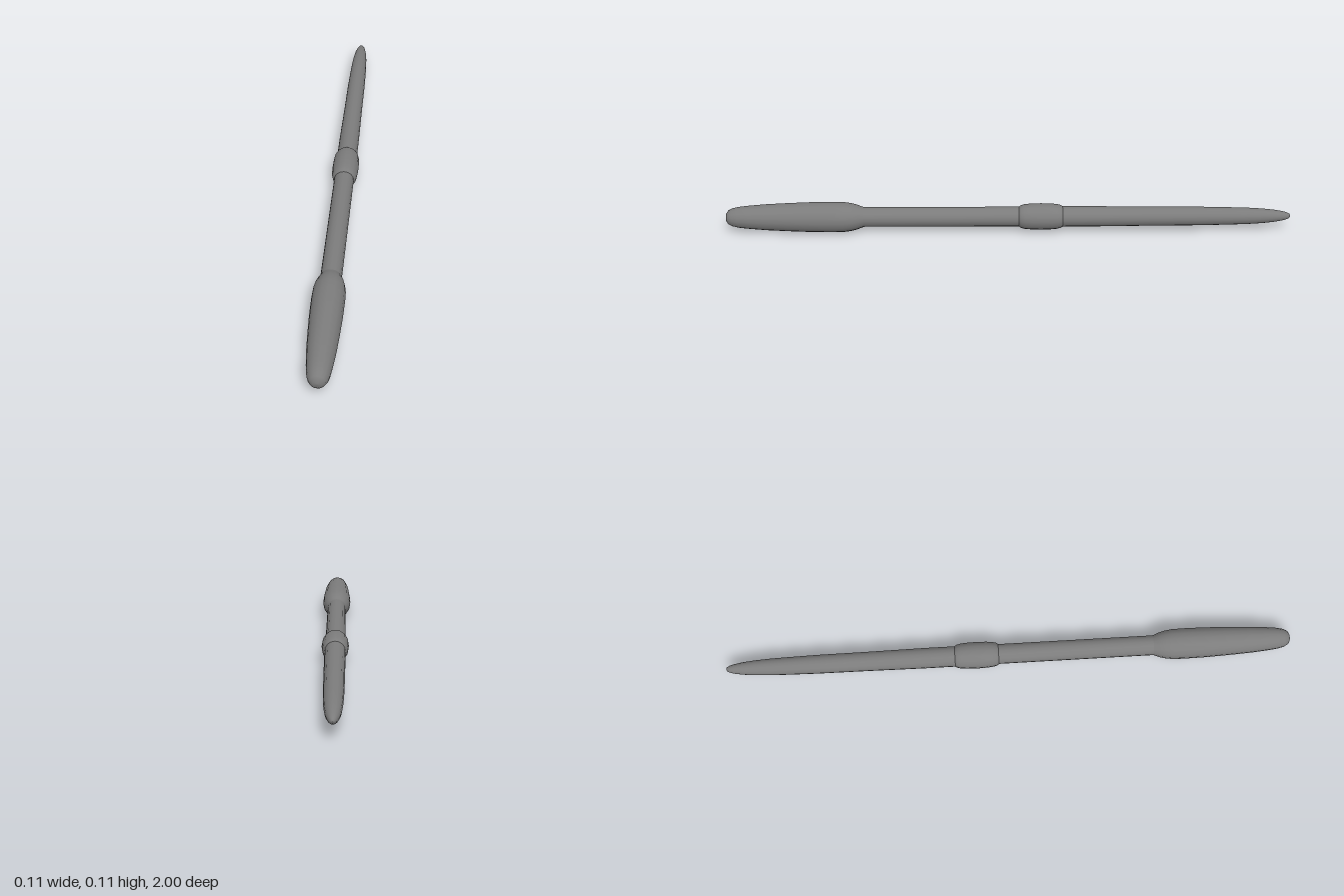
import * as THREE from 'three';

const SIDES = 16;
const AXIS_Y = 0.055;

export function createModel() {
  const group = new THREE.Group();
  const material = new THREE.MeshStandardMaterial({ color: 0x7c7c7c });

  // Turned part lying along z; profile points are [radius, z] from back to front
  const turned = (name, profile) => {
    const points = profile.map(([r, z]) => new THREE.Vector2(r, z));
    const geometry = new THREE.LatheGeometry(points, SIDES);
    geometry.rotateX(Math.PI / 2);
    const mesh = new THREE.Mesh(geometry, material);
    mesh.name = name;
    mesh.position.y = AXIS_Y;
    group.add(mesh);
  };

  // Rear rod narrowing to a rounded point
  turned('taperedRod', [
    [0, -1], [0.007, -0.997], [0.012, -0.988], [0.017, -0.97], [0.022, -0.94],
    [0.026, -0.9], [0.029, -0.85], [0.031, -0.78], [0.033, -0.68],
    [0.034, -0.5], [0.036, -0.3], [0.036, -0.18],
  ]);

  // Rounded collar between the two rods
  turned('collar', [
    [0.033, -0.194], [0.037, -0.191], [0.041, -0.184], [0.044, -0.172], [0.046, -0.15],
    [0.047, -0.115], [0.046, -0.08], [0.044, -0.058], [0.041, -0.046],
    [0.037, -0.039], [0.033, -0.036],
  ]);

  // Straight front rod
  turned('shaft', [[0.035, -0.05], [0.035, 0.25], [0.035, 0.56]]);

  // Swelling grip with a blunt rounded end
  turned('grip', [
    [0.034, 0.508], [0.037, 0.517], [0.04, 0.525], [0.044, 0.535], [0.049, 0.554],
    [0.053, 0.58], [0.054, 0.62], [0.053, 0.7], [0.05, 0.78], [0.046, 0.86], [0.041, 0.92],
    [0.037, 0.955], [0.032, 0.977], [0.025, 0.991], [0.014, 0.998], [0, 1],
  ]);

  return group;
}
